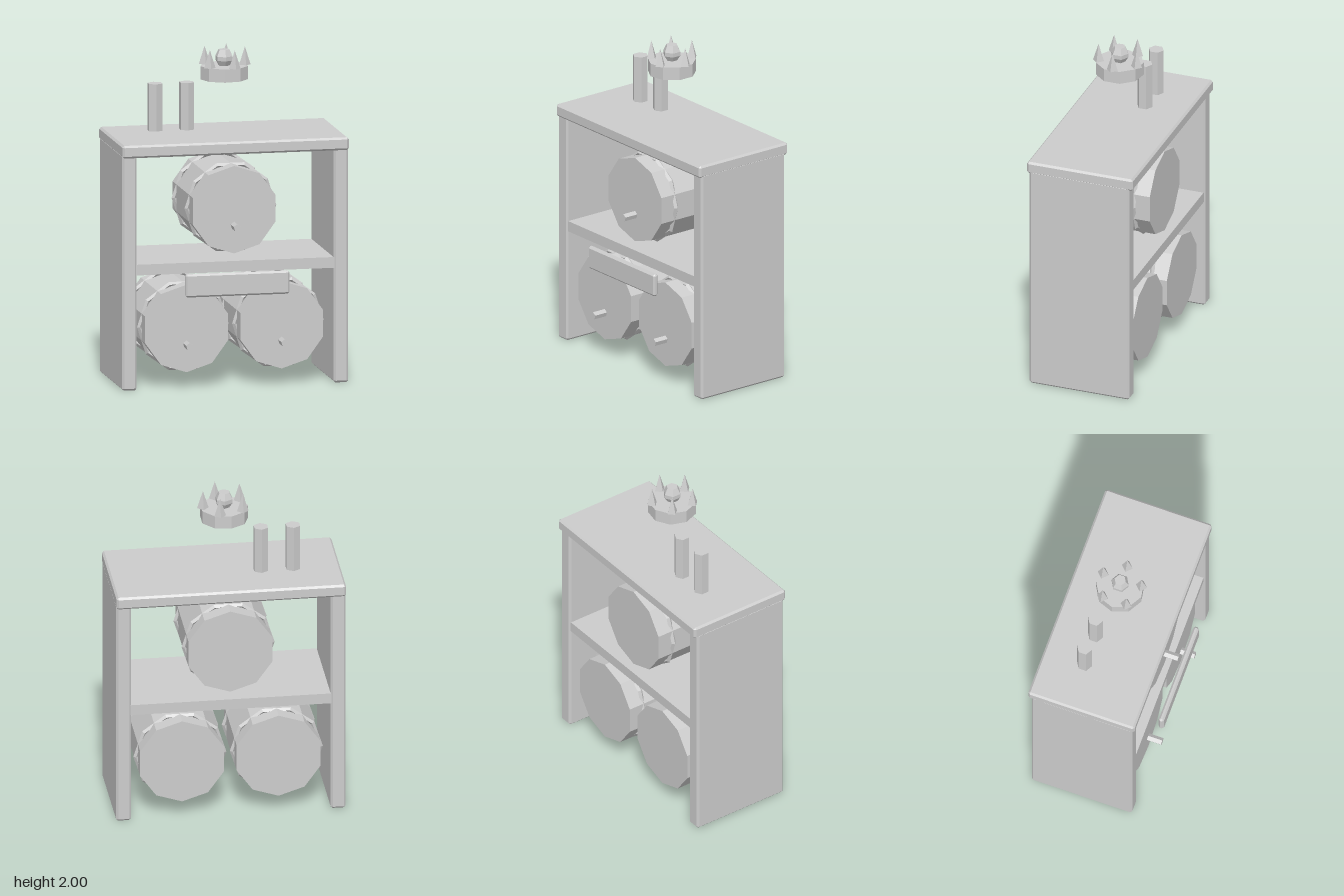
import * as THREE from 'three';
import { ConvexGeometry } from 'three/addons/geometries/ConvexGeometry.js';

const grey = new THREE.MeshStandardMaterial({ color: 0xcccccc, flatShading: true });
grey.name = 'plain grey';

// Box with chamfered edges, given by its size
function chamferBox(w, h, d, c) {
  const pts = [];
  for (const sx of [-1, 1]) for (const sy of [-1, 1]) for (const sz of [-1, 1]) {
    for (let out = 0; out < 3; out++) {
      const inset = [c, c, c];
      inset[out] = 0;
      pts.push(new THREE.Vector3(
        sx * (w / 2 - inset[0]), sy * (h / 2 - inset[1]), sz * (d / 2 - inset[2])));
    }
  }
  return new ConvexGeometry(pts);
}

// Cylinder lying along z, with one corner pointing up
function zCylinder(r, length, sides) {
  return new THREE.CylinderGeometry(r, r, length, sides).rotateX(-Math.PI / 2);
}

function add(parent, name, geometry, x, y, z) {
  const mesh = new THREE.Mesh(geometry, grey);
  mesh.name = name;
  mesh.position.set(x, y, z);
  parent.add(mesh);
  return mesh;
}

// Barrel with two hoops and a tap
function makeBarrel(name, x, y) {
  const barrel = new THREE.Group();
  barrel.name = name;
  add(barrel, 'barrelBody', zCylinder(0.265, 0.565, 10), 0, 0, 0);
  for (const z of [-0.18, 0.18]) {
    add(barrel, 'barrelHoop', new THREE.TorusGeometry(0.265, 0.015, 4, 10), 0, 0, z);
  }
  add(barrel, 'tap', zCylinder(0.023, 0.12, 5), 0, -0.095, 0.312);
  barrel.position.set(x, y, -0.027);
  return barrel;
}

// Spiked crown with a faceted gem
function makeCrown() {
  const crown = new THREE.Group();
  crown.name = 'crown';
  const band = new THREE.CylinderGeometry(0.145, 0.145, 0.08, 9).rotateY(-Math.PI / 2);
  add(crown, 'crownBand', band, 0, 0.04, 0);
  for (let i = 0; i < 5; i++) {
    const a = i * Math.PI * 2 / 5;
    add(crown, 'crownSpike', new THREE.ConeGeometry(0.035, 0.11, 4),
      0.127 * Math.cos(a), 0.135, 0.127 * Math.sin(a));
  }
  const profile = [[0, 0], [0.032, 0], [0.054, 0.035], [0.054, 0.06], [0.035, 0.1], [0, 0.1]]
    .map(([r, y]) => new THREE.Vector2(r, y));
  add(crown, 'crownGem', new THREE.LatheGeometry(profile, 6), 0, 0.077, 0);
  crown.position.set(0, 1.81, -0.025);
  return crown;
}

export function createModel() {
  const model = new THREE.Group();
  model.name = 'barrelRack';

  // Shelf unit
  add(model, 'topBoard', chamferBox(1.38, 0.077, 0.673, 0.012), 0, 1.447, -0.026);
  for (const side of [-1, 1]) {
    add(model, side > 0 ? 'leftPanel' : 'rightPanel',
      chamferBox(0.09, 1.43, 0.636, 0.012), side * 0.645, 0.715, -0.023);
  }
  add(model, 'middleShelf', new THREE.BoxGeometry(1.22, 0.065, 0.62), 0, 0.728, -0.023);
  add(model, 'signBoard', chamferBox(0.635, 0.14, 0.034, 0.011), 0, 0.632, 0.346);

  // Barrels
  model.add(makeBarrel('topBarrel', 0, 1.065));
  for (const side of [-1, 1]) {
    model.add(makeBarrel(side > 0 ? 'leftBarrel' : 'rightBarrel', side * 0.29, 0.357));
  }

  // Hexagonal cups above the top board
  for (const x of [-0.403, -0.21]) {
    add(model, 'hexCup', new THREE.CylinderGeometry(0.047, 0.047, 0.286, 6), x, 1.64, -0.106);
  }

  model.add(makeCrown());
  return model;
}
